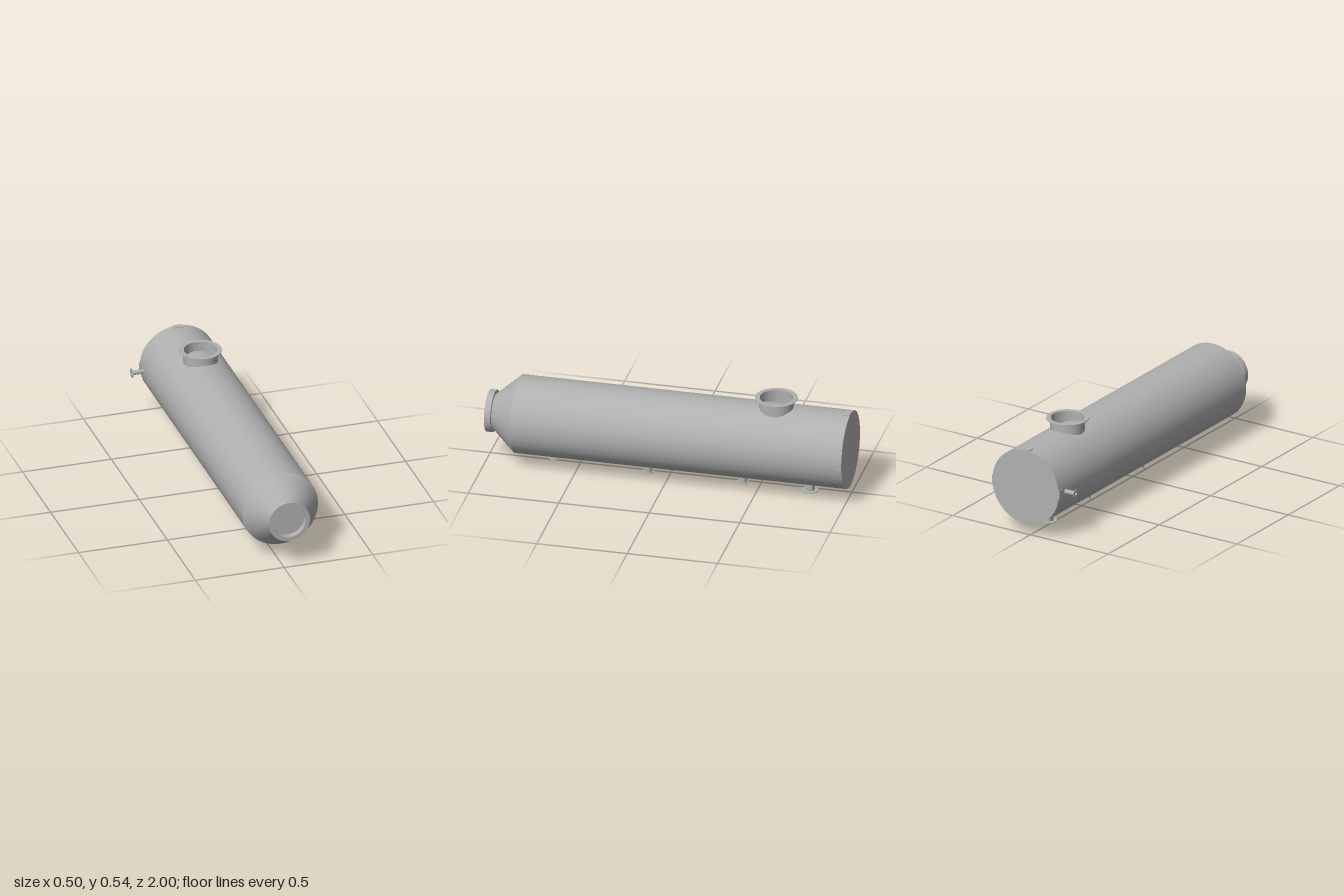
import * as THREE from 'three';
import { toCreasedNormals } from 'three/addons/utils/BufferGeometryUtils.js';

const CX = 0.031, CY = 0.27, R = 0.213;

export function createModel() {
  const model = new THREE.Group();
  model.name = 'pressureVessel';
  const steel = new THREE.MeshStandardMaterial({ color: 0xb0b0b0 });
  steel.name = 'grey steel';

  const add = (parent, name, geometry) => {
    const mesh = new THREE.Mesh(geometry, steel);
    mesh.name = name;
    parent.add(mesh);
    return mesh;
  };

  // Flat ring extruded along +z from z0 to z1
  const ring = (outer, inner, z0, z1) => {
    const shape = new THREE.Shape().absarc(0, 0, outer, 0, Math.PI * 2, false);
    shape.holes.push(new THREE.Path().absarc(0, 0, inner, 0, Math.PI * 2, true));
    const g = new THREE.ExtrudeGeometry(shape, { depth: z1 - z0, bevelEnabled: false, curveSegments: 48 });
    return toCreasedNormals(g.translate(0, 0, z0), 0.6);
  };

  // Open pipe with an end flange, pointing along local +z
  const nozzle = (name, r, wall, flangeR, flangeT, length) => {
    const group = new THREE.Group();
    group.name = name;
    add(group, name + 'Pipe', ring(r, r - wall, 0, length - flangeT));
    add(group, name + 'Flange', ring(flangeR, r - wall, length - flangeT, length));
    model.add(group);
    return group;
  };

  // Shell and reducing cone, both along z
  const shell = add(model, 'shell', new THREE.CylinderGeometry(R, R, 1.832, 96).rotateX(Math.PI / 2));
  shell.position.set(CX, CY, -0.084);
  const cone = add(model, 'cone', new THREE.CylinderGeometry(0.094, R, 0.134, 96).rotateX(Math.PI / 2));
  cone.position.set(CX, CY, 0.899);

  // Thick front flange
  const front = add(model, 'frontFlange', ring(0.115, 0.092, 0.965, 1));
  front.position.set(CX, CY, 0);

  // Large top nozzle
  const top = nozzle('topNozzle', 0.093, 0.003, 0.115, 0.004, 0.086);
  top.rotation.x = -Math.PI / 2;
  top.position.set(CX, 0.45, -0.59);

  // Drains underneath: z, pipe radius, flange radius, lower end
  [
    [0.637, 0.02, 0.03, 0.027],
    [0.12, 0.024, 0.032, 0.008],
    [-0.404, 0.024, 0.032, 0.008],
    [-0.775, 0.026, 0.045, 0],
  ].forEach(([z, r, flangeR, y], i) => {
    const drain = nozzle('drain' + (i + 1), r, 0.004, flangeR, 0.004, 0.08 - y);
    drain.rotation.x = Math.PI / 2;
    drain.position.set(CX, 0.08, z);
  });

  // Small side nozzle
  const side = nozzle('sideNozzle', 0.0125, 0.003, 0.025, 0.004, 0.08);
  side.rotation.y = -Math.PI / 2;
  side.position.set(-0.17, CY, -0.933);

  // Four small lugs around the rear rim
  for (let i = 0; i < 4; i++) {
    const a = i * Math.PI / 2;
    const lug = add(model, 'rearLug' + (i + 1), new THREE.BoxGeometry(0.012, 0.05, 0.034));
    lug.rotation.z = a;
    lug.position.set(CX + Math.cos(a) * 0.211, CY + Math.sin(a) * 0.211, -0.983);
  }
  return model;
}
